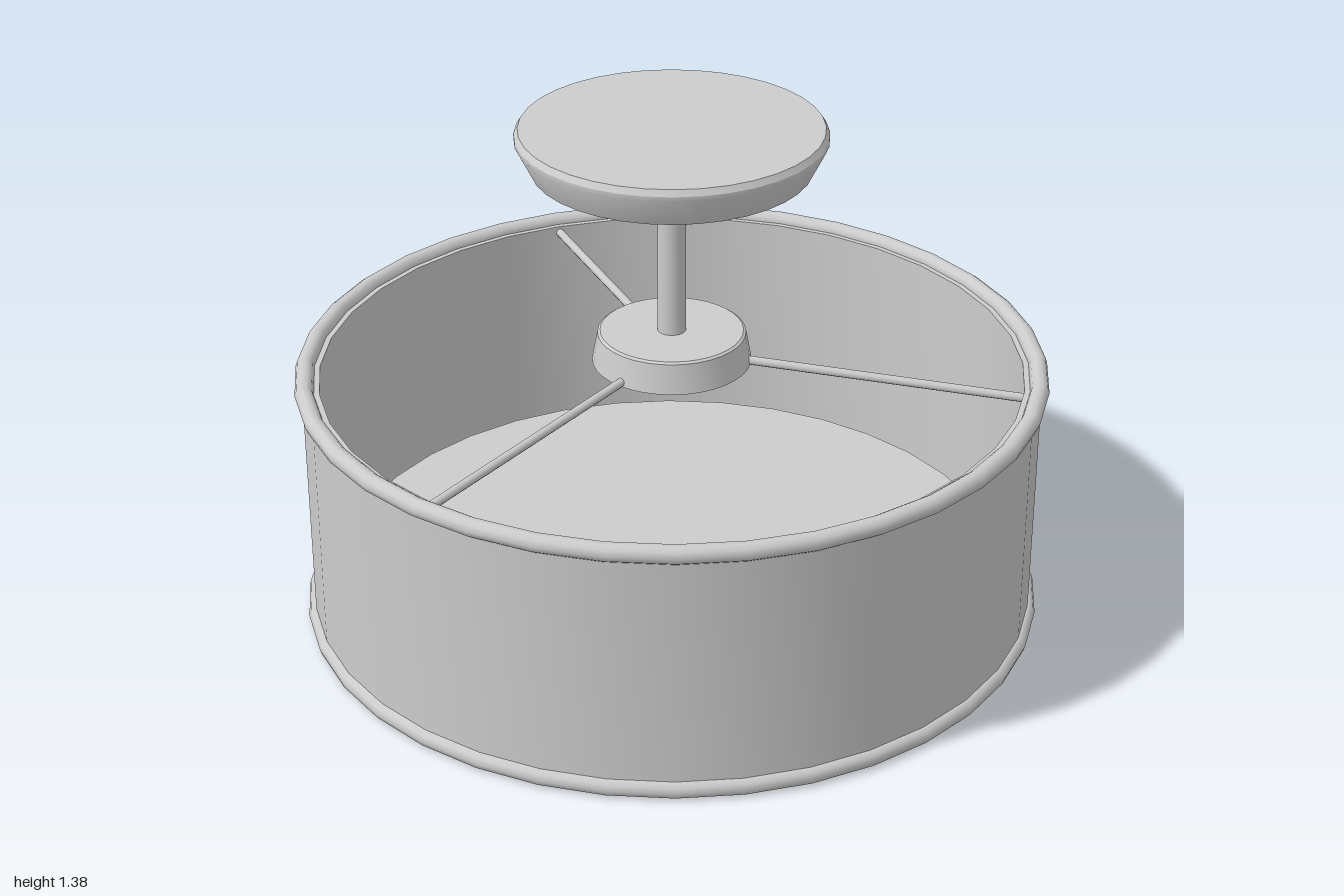
import * as THREE from 'three';
import { toCreasedNormals } from 'three/addons/utils/BufferGeometryUtils.js';

const SEGMENTS = 36;

export function createModel() {
  const model = new THREE.Group();
  model.name = 'ceilingLamp';
  const grey = new THREE.MeshStandardMaterial({ color: 0xcccccc });
  grey.name = 'light grey';

  const add = (name, geometry) => {
    const mesh = new THREE.Mesh(geometry, grey);
    mesh.name = name;
    model.add(mesh);
    return mesh;
  };

  // Turned part from [radius, height] pairs, outer side running upwards
  const turned = (name, profile, segments = SEGMENTS) => {
    const points = profile.map(([r, y]) => new THREE.Vector2(r, y));
    return add(name, toCreasedNormals(new THREE.LatheGeometry(points, segments), 0.5));
  };

  // Drum shade: a closed wall, open at top and bottom
  turned('shade', [[0.98, 0.025], [0.98, 0.7], [0.935, 0.7], [0.935, 0.025], [0.98, 0.025]]);

  // Rounded rims on both edges of the shade
  for (const [name, y] of [['bottomRim', 0.025], ['topRim', 0.7]]) {
    const rim = add(name, new THREE.TorusGeometry(0.975, 0.025, 10, SEGMENTS));
    rim.rotation.x = Math.PI / 2;
    rim.position.y = y;
  }

  // Diffuser disc, slightly smaller than the inside of the shade
  turned('diffuser', [[0, 0.09], [0.915, 0.09], [0.915, 0.1], [0, 0.1]]);

  // Hub, stem and ceiling canopy
  turned('hub', [[0, 0.72], [0.212, 0.72], [0.197, 0.8], [0.19, 0.805], [0, 0.805]]);
  turned('stem', [[0.038, 0.8], [0.038, 1.28]], 20);
  turned('canopy', [[0, 1.275], [0.365, 1.275], [0.405, 1.355], [0.405, 1.367], [0.395, 1.383], [0, 1.383]]);

  // Three spokes sloping down from the hub to the shade
  const up = new THREE.Vector3(0, 1, 0);
  for (let i = 0; i < 3; i++) {
    const angle = (i * Math.PI * 2) / 3;
    const start = new THREE.Vector3(0.18, 0.732, 0).applyAxisAngle(up, angle);
    const end = new THREE.Vector3(0.945, 0.68, 0).applyAxisAngle(up, angle);
    const direction = end.clone().sub(start);
    const spoke = add('spoke' + (i + 1), new THREE.CylinderGeometry(0.012, 0.012, direction.length(), 10));
    spoke.position.copy(start).add(end).multiplyScalar(0.5);
    spoke.quaternion.setFromUnitVectors(up, direction.normalize());
  }

  return model;
}
